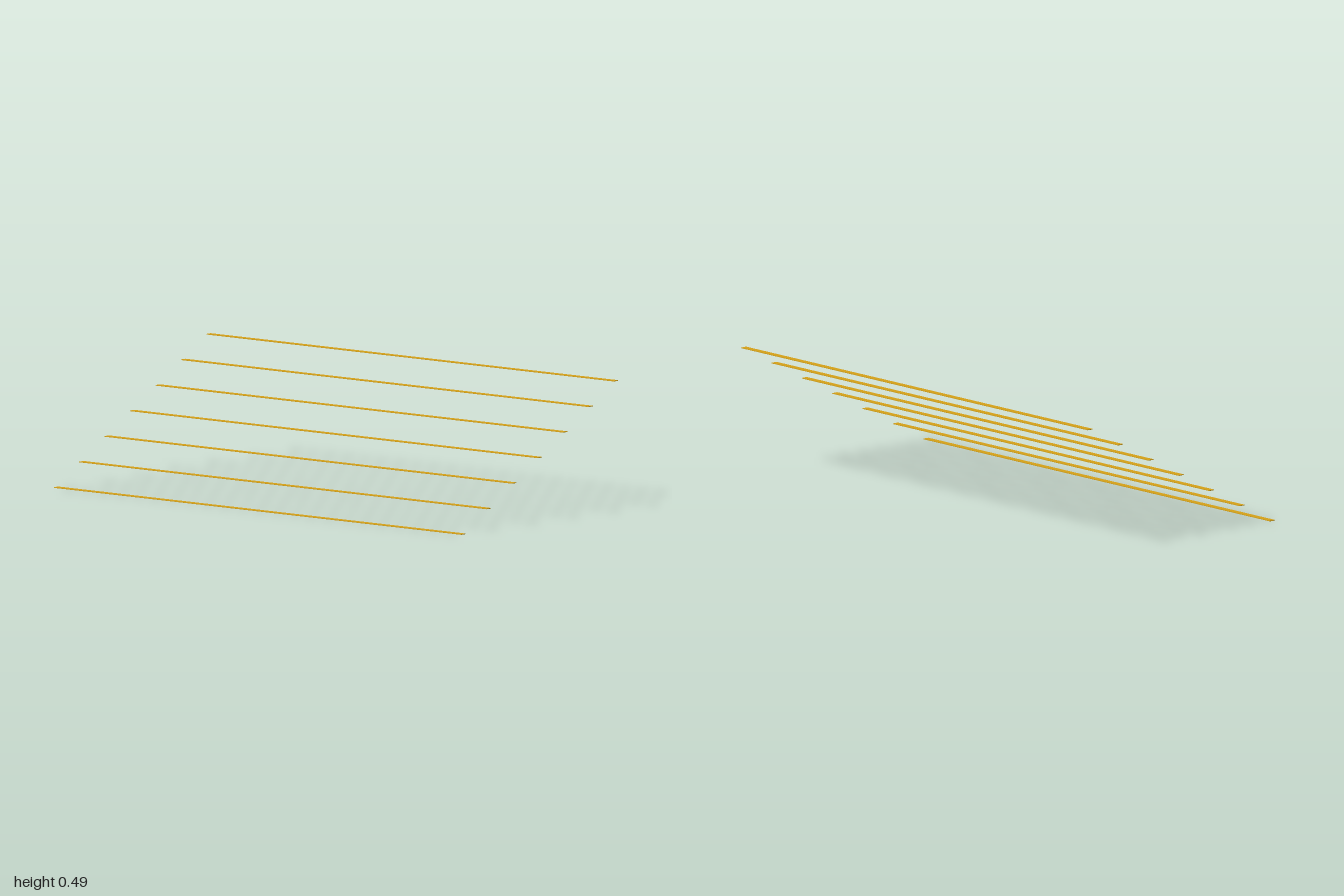
import * as THREE from 'three';

// Seven thin metal nosing strips rising like the edges of a stair flight
export function createModel() {
  const group = new THREE.Group();
  group.name = 'stairNosings';

  const count = 7;
  const rise = 0.0812;
  const run = 0.1547;
  const thickness = 0.0025;
  const strip = new THREE.BoxGeometry(2, thickness, 0.0255);
  const brass = new THREE.MeshStandardMaterial({ color: 0xd4a017 });

  // Lowest strip at the front, each next one higher and further back
  for (let i = 0; i < count; i++) {
    const nosing = new THREE.Mesh(strip, brass);
    nosing.name = `nosingStrip${i + 1}`;
    nosing.position.set(0, thickness / 2 + i * rise, ((count - 1) / 2 - i) * run);
    group.add(nosing);
  }
  return group;
}
